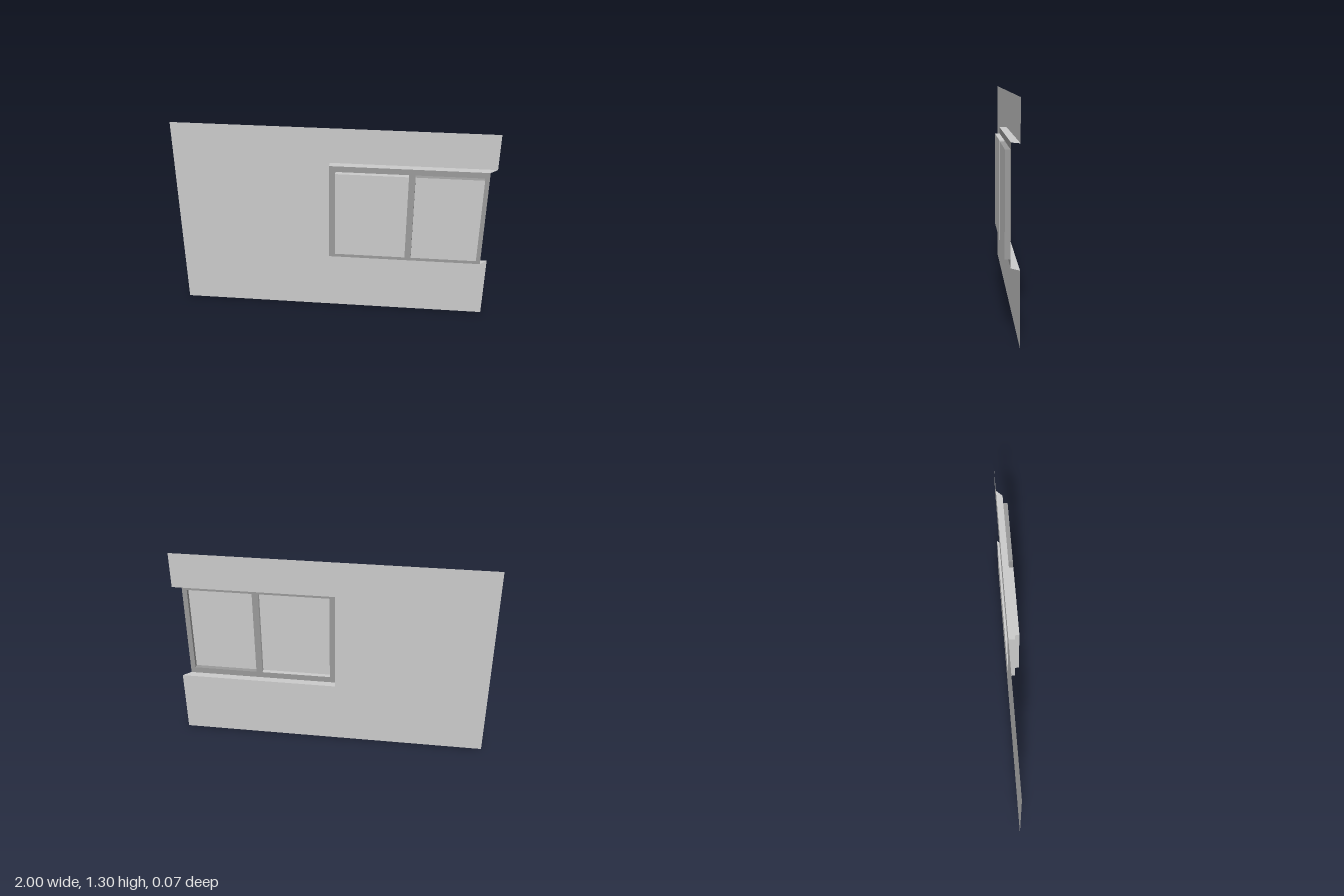
import * as THREE from 'three';

// depths of the three parallel planes
const WALL_Z = -0.037, FRAME_Z = 0.008, PANE_Z = 0.037;
const FRAME = { x0: -0.02, x1: 0.953, y0: 0.417, y1: 1.073 };
const PANES = [
  { name: 'leftPane', x0: 0.02, x1: 0.468 },
  { name: 'rightPane', x0: 0.508, x1: 0.922 },
].map((p) => ({ ...p, y0: 0.457, y1: 1.035 }));

const light = new THREE.MeshStandardMaterial({ color: 0xcccccc, side: THREE.DoubleSide });
const dark = new THREE.MeshStandardMaterial({ color: 0x9a9a9a, side: THREE.DoubleSide });

const corners = (r) => [[r.x0, r.y0], [r.x1, r.y0], [r.x1, r.y1], [r.x0, r.y1]]
  .map(([x, y]) => new THREE.Vector2(x, y));

// flat sheet facing +z, with optional holes
function sheet(name, points, z, material, holes = []) {
  const shape = new THREE.Shape(points);
  for (const h of holes) shape.holes.push(new THREE.Path(corners(h).reverse()));
  const mesh = new THREE.Mesh(new THREE.ShapeGeometry(shape), material);
  mesh.position.z = z;
  mesh.name = name;
  return mesh;
}

// four-cornered strip, corners anticlockwise seen from its front
function quad(name, a, b, c, d, material) {
  const geo = new THREE.BufferGeometry();
  geo.setAttribute('position', new THREE.Float32BufferAttribute([a, b, c, a, c, d].flat(), 3));
  geo.computeVertexNormals();
  const mesh = new THREE.Mesh(geo, material);
  mesh.name = name;
  return mesh;
}

export function createModel() {
  const model = new THREE.Group();
  model.name = 'wallWithWindow';
  const { x0, x1, y0, y1 } = FRAME;

  // wall sheet with a notch open to the right edge
  const outline = [[-1, 0], [1, 0], [1, y0], [x0, y0], [x0, y1], [1, y1], [1, 1.303], [-1, 1.303]];
  model.add(sheet('wall', outline.map(([x, y]) => new THREE.Vector2(x, y)), WALL_Z, light));

  // reveals joining wall and frame, mitred at the open end
  model.add(
    quad('topReveal', [x0, y1, FRAME_Z], [x1, y1, FRAME_Z], [1, y1, WALL_Z], [x0, y1, WALL_Z], light),
    quad('bottomReveal', [x0, y0, WALL_Z], [1, y0, WALL_Z], [x1, y0, FRAME_Z], [x0, y0, FRAME_Z], light),
    quad('sideReveal', [x0, y0, WALL_Z], [x0, y0, FRAME_Z], [x0, y1, FRAME_Z], [x0, y1, WALL_Z], light),
  );

  // window frame
  model.add(sheet('windowFrame', corners(FRAME), FRAME_Z, dark, PANES));

  // raised panes with their edge strips
  PANES.forEach((pane, n) => {
    const group = new THREE.Group();
    group.name = pane.name;
    const pts = corners(pane);
    group.add(sheet('glass', pts, PANE_Z, light));
    pts.forEach((p, i) => {
      const q = pts[(i + 1) % 4];
      group.add(quad('paneEdge', [p.x, p.y, FRAME_Z], [q.x, q.y, FRAME_Z],
        [q.x, q.y, PANE_Z], [p.x, p.y, PANE_Z], n ? dark : light));
    });
    model.add(group);
  });
  return model;
}
